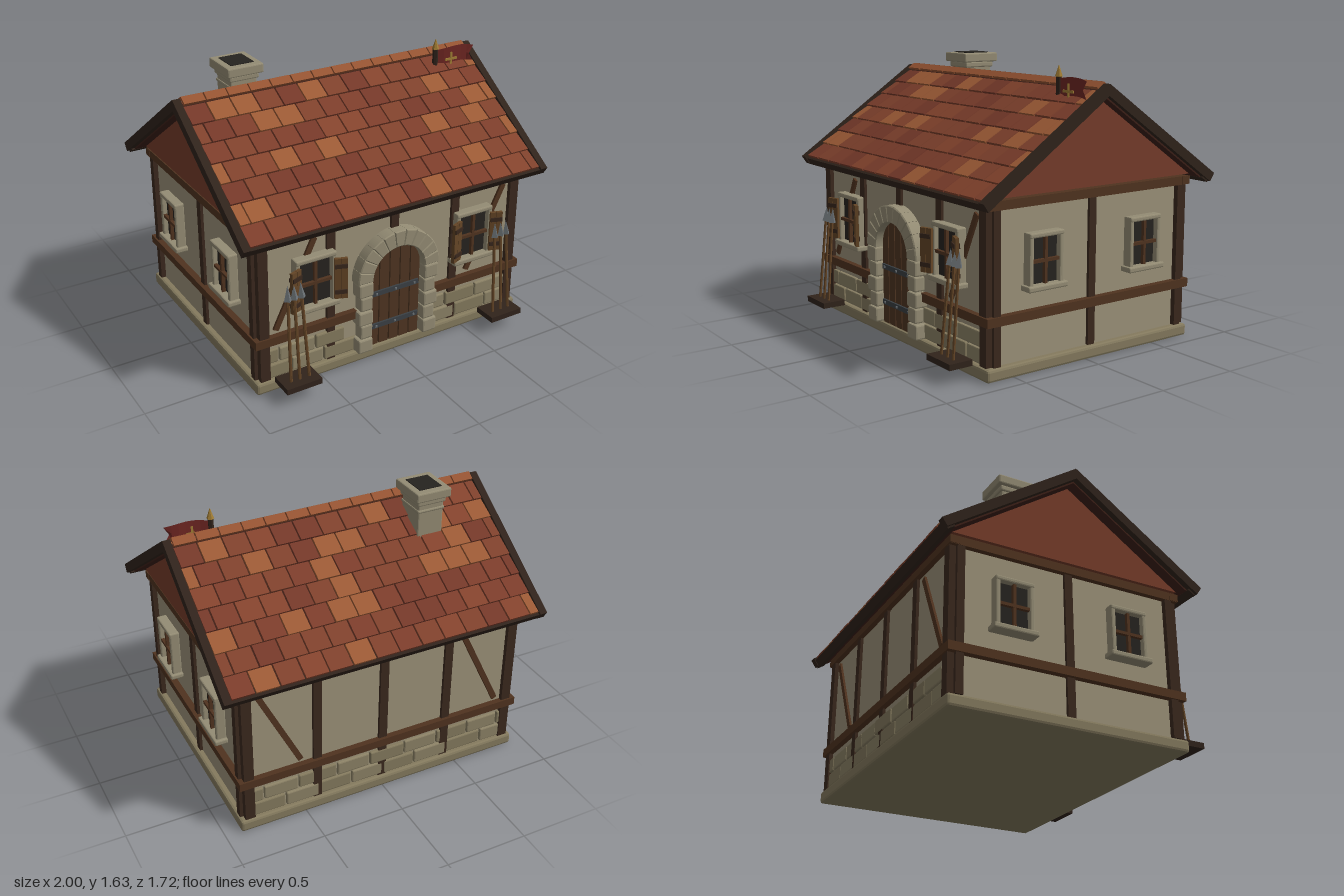
import * as THREE from 'three';
import { RoundedBoxGeometry } from 'three/addons/geometries/RoundedBoxGeometry.js';

const C = {
  plaster: 0x9c9279, stone: 0x948c74, brick: 0x8c8266, base: 0x847a5e, timber: 0x3a281d, rail: 0x50331f,
  dark: 0x30231b, plank: 0x4e3421, shutter: 0x644526, iron: 0x3a4044, steel: 0x6a7074, glass: 0x26231f,
  gable: 0x763c2a, deck: 0x3c1f17, ridge: 0x965432, gold: 0xa07c34, cloth: 0x6e2622,
};
const TILES = [0x7c3d2b, 0x84432d, 0x753829, 0x7f412c, 0x9c5a35];
const mats = {};
const mat = (c) => (mats[c] ??= new THREE.MeshStandardMaterial({ color: c, flatShading: true, side: THREE.DoubleSide }));

let seed = 7;
const rnd = () => (seed = (seed * 16807) % 2147483647) / 2147483647;

function add(parent, name, geo, color, x = 0, y = 0, z = 0) {
  const m = new THREE.Mesh(geo, mat(color));
  m.name = name;
  m.position.set(x, y, z);
  parent.add(m);
  return m;
}
const box = (p, n, c, w, h, d, x, y, z) => add(p, n, new THREE.BoxGeometry(w, h, d), c, x, y, z);
const block = (p, n, c, w, h, d, x, y, z, r = 0.008) =>
  add(p, n, new RoundedBoxGeometry(w, h, d, 1, r), c, x, y, z);
function group(parent, name, x = 0, y = 0, z = 0, ry = 0) {
  const g = new THREE.Group();
  g.name = name;
  g.position.set(x, y, z);
  g.rotation.y = ry;
  parent.add(g);
  return g;
}

// Window facing +z; origin at the centre of the opening on the wall face
function makeWindow(parent, name, w, h, x, y, z, ry, shutters) {
  const g = group(parent, name, x, y, z, ry), t = 0.028;
  box(g, 'glass', C.glass, w, h, 0.03, 0, 0, 0.012);
  for (const s of [-1, 1]) block(g, 'frameSide', C.stone, t, h + 2 * t, 0.06, s * (w + t) / 2, 0, 0.028);
  block(g, 'lintel', C.stone, w + 2 * t, t, 0.062, 0, (h + t) / 2, 0.03);
  block(g, 'sill', C.stone, w + 0.09, 0.032, 0.08, 0, -(h + 0.03) / 2, 0.036);
  box(g, 'mullion', C.rail, 0.018, h, 0.02, 0, 0, 0.04);
  box(g, 'crossbar', C.rail, w, 0.018, 0.02, 0, 0, 0.042);
  if (!shutters) return;
  for (const s of [-1, 1]) {
    const leaf = group(g, 'shutter', s * (w / 2 + 0.005), 0, 0.065, s > 0 ? -0.35 : Math.PI + 0.35);
    for (let i = 0; i < 2; i++) box(leaf, 'shutterBoard', C.shutter, 0.036, 0.25, 0.02, 0.019 + i * 0.038, 0, 0);
    for (const yy of [-0.08, 0.08]) box(leaf, 'shutterBatten', C.timber, 0.07, 0.025, 0.034, 0.038, yy, 0);
  }
}

// Timbers and brick footing of a long wall, facing +z; flip mirrors x for the rear
function makeLongWall(house, name, rear) {
  const g = group(house, name, 0, 0, 0, rear ? Math.PI : 0);
  const f = rear ? -1 : 1;
  for (const x of [-0.845, 0.845]) box(g, 'cornerPost', C.timber, 0.06, 0.85, 0.05, x, 0.5, 0.69);
  for (const x of [-0.42, 0.42]) box(g, 'post', C.timber, 0.052, 0.85, 0.035, x, 0.5, 0.69);
  if (rear) box(g, 'centrePost', C.timber, 0.052, 0.85, 0.035, 0, 0.5, 0.69);
  else box(g, 'centrePost', C.timber, 0.05, 0.13, 0.035, 0, 0.86, 0.69);
  box(g, 'topBeam', C.rail, 1.8, 0.045, 0.055, 0, 0.938, 0.695);
  if (rear) box(g, 'rail', C.rail, 1.81, 0.05, 0.05, 0, 0.325, 0.7);
  else for (const s of [-1, 1]) box(g, 'rail', C.rail, 0.645, 0.05, 0.05, s * 0.5825, 0.325, 0.7);
  for (const x0 of [-0.645, 0.6475]) {
    const b = box(g, 'brace', C.rail, 0.034, 0.565, 0.028, x0 * f, 0.63, 0.69);
    b.rotation.z = -f * 0.455;
  }
  // Two staggered courses of brick
  for (let r = 0; r < 2; r++) {
    let x = -0.865;
    for (let i = 0; x < 0.86; i++) {
      const w = Math.min(i === 0 && r ? 0.11 : 0.19 + 0.06 * rnd(), 0.865 - x);
      const mid = x + w / 2;
      if (w > 0.03 && (rear || Math.abs(mid) > 0.24))
        block(g, 'brick', i % 2 ? C.brick : C.base, w - 0.008, 0.086, 0.03, mid, 0.122 + r * 0.095, 0.69 + 0.006 * rnd());
      x += w;
    }
  }
}

// Arched plank door with a stone surround
function makeDoor(house) {
  const g = group(house, 'door', 0, 0, 0.69);
  const R = 0.175, cy = 0.535;
  const back = new THREE.Shape().moveTo(-R, 0.07).lineTo(R, 0.07).lineTo(R, cy).absarc(0, cy, R, 0, Math.PI);
  add(g, 'doorRecess', new THREE.ExtrudeGeometry(back, { depth: 0.01, bevelEnabled: false, curveSegments: 16 }), C.glass);
  for (let i = 0; i < 5; i++) {
    const a = -R + i * 0.07 + 0.004, b = a + 0.062, s = new THREE.Shape().moveTo(a, 0.075).lineTo(b, 0.075);
    for (let k = 0; k <= 4; k++) {
      const x = b + (a - b) * k / 4;
      s.lineTo(x, cy + Math.sqrt(Math.max(0, R * R - x * x)));
    }
    add(g, 'doorPlank', new THREE.ExtrudeGeometry(s, { depth: 0.025, bevelEnabled: false }), C.plank);
  }
  for (const y of [0.205, 0.42]) {
    box(g, 'hingeStrap', C.iron, 0.32, 0.03, 0.012, 0, y, 0.031);
    for (const x of [-0.13, 0, 0.13]) box(g, 'stud', C.steel, 0.012, 0.012, 0.008, x, y, 0.039);
  }
  const n = 11, bev = 0.006;
  for (let i = 0; i < n; i++) {
    const a0 = Math.PI * i / n + 0.024, a1 = Math.PI * (i + 1) / n - 0.024;
    const s = new THREE.Shape().absarc(0, 0, 0.269, a0, a1).absarc(0, 0, R + bev, a1, a0, true);
    const geo = new THREE.ExtrudeGeometry(s, { depth: 0.07, bevelSize: bev, bevelThickness: bev, bevelSegments: 1, curveSegments: 3 });
    add(g, 'archStone', geo, C.stone, 0, cy, 0);
  }
  for (const s of [-1, 1]) for (let i = 0; i < 5; i++) {
    const w = i % 2 ? 0.08 : 0.095;
    block(g, 'jambStone', C.stone, w, 0.089, i % 2 ? 0.07 : 0.08, s * (R + w / 2), 0.121 + i * 0.092, 0.038, 0.01);
  }
}

// One roof slope: local z runs down the slope from the ridge
function makeSlope(roof, name, ry) {
  const turn = group(roof, name, 0, 1.5, 0, ry);
  const g = group(turn, 'slope');
  g.rotation.x = 0.597;
  box(g, 'deck', C.deck, 1.93, 0.035, 0.95, 0, -0.016, 0.475);
  for (const s of [-1, 1]) {
    box(g, 'bargeboard', C.dark, 0.045, 0.055, 0.985, s * 0.9775, 0.003, 0.475);
  }
  const eave = box(turn, 'eaveBoard', C.dark, 1.97, 0.05, 0.05, 0, -0.535, 0.77);
  eave.rotation.x = 0.597;
  const pitch = 0.1425, rows = 7, run = 0.131;
  for (let r = 0; r < rows; r++) {
    const off = r % 2 ? pitch / 2 : 0;
    for (let i = 0; i <= 14; i++) {
      const a = Math.max(-0.955, -0.96 + i * pitch - off), b = Math.min(0.955, -0.96 + (i + 1) * pitch - off);
      if (b - a < 0.02) continue;
      const k = rnd();
      const t = box(g, 'tile', TILES[k > 0.82 ? 4 : Math.floor(k * 4.8)], b - a - 0.009, 0.016, 0.13,
        (a + b) / 2, 0.015 + 0.003 * rnd(), 0.03 + (r + 0.5) * run);
      t.rotation.x = -0.09;
    }
  }
}

function makeRoof(house) {
  const g = group(house, 'roof');
  const tri = new THREE.Shape().moveTo(-0.74, 0.975).lineTo(0.74, 0.975).lineTo(0, 1.48);
  const prism = new THREE.ExtrudeGeometry(tri, { depth: 1.8, bevelEnabled: false }).translate(0, 0, -0.9).rotateY(Math.PI / 2);
  add(g, 'gable', prism, C.gable);
  makeSlope(g, 'frontSlope', 0);
  makeSlope(g, 'rearSlope', Math.PI);
  // Folded ridge caps
  for (let i = 0; i < 14; i++) for (const s of [-1, 1]) {
    const c = box(g, 'ridgeCap', C.ridge, 0.128, 0.016, 0.05, -0.884 + i * 0.136, 1.524, s * 0.019);
    c.rotation.x = s * 0.597;
  }
}

function makeChimney(house) {
  const g = group(house, 'chimney', -0.525, 0, -0.17);
  block(g, 'shaft', C.stone, 0.165, 0.36, 0.185, 0, 1.41, 0);
  block(g, 'lowerBand', C.stone, 0.178, 0.02, 0.198, 0, 1.5, 0);
  block(g, 'collar', C.stone, 0.185, 0.035, 0.208, 0, 1.555, 0);
  block(g, 'cap', C.stone, 0.225, 0.057, 0.25, 0, 1.6, 0);
  box(g, 'flue', C.glass, 0.144, 0.02, 0.16, 0, 1.623, 0);
}

// Tray with three leaning spears
function makeSpearRack(model, s) {
  const g = group(model, 'spearRack', s * 0.7, 0, 0);
  box(g, 'rackTray', C.dark, 0.22, 0.034, 0.145, 0, 0.1, 0.782);
  [-0.06, 0, 0.055].forEach((dx, i) => {
    const spear = group(g, 'spear', s * dx, 0.11, 0.795);
    spear.rotation.set(-0.095, 0, (i - 1) * s * 0.03);
    add(spear, 'shaft', new THREE.CylinderGeometry(0.009, 0.009, 0.52, 6), C.shutter, 0, 0.26, 0);
    add(spear, 'spearhead', new THREE.ConeGeometry(0.024, 0.09, 4), C.steel, 0, 0.54, 0);
  });
}

function makeFlag(model) {
  const g = group(model, 'flag', 0.685, 0, 0.045);
  add(g, 'pole', new THREE.CylinderGeometry(0.016, 0.018, 0.16, 6), C.dark, 0, 1.495, 0);
  add(g, 'finial', new THREE.ConeGeometry(0.022, 0.065, 6), C.gold, 0, 1.593, 0);
  add(g, 'finialBase', new THREE.ConeGeometry(0.022, 0.02, 6).rotateX(Math.PI), C.gold, 0, 1.551, 0);
  // Notched cloth with a slight wave
  const cloth = new THREE.PlaneGeometry(0.25, 0.1, 6, 2).translate(0.14, 1.5, 0);
  const p = cloth.attributes.position;
  for (let i = 0; i < p.count; i++) {
    const u = (p.getX(i) - 0.015) / 0.25, v = p.getY(i);
    if (u > 0.99 && Math.abs(v - 1.5) < 0.01) p.setX(i, 0.235);
    p.setY(i, v + 0.014 * Math.sin(u * Math.PI));
    p.setZ(i, 0.03 * u + 0.008 * Math.sin(u * 6));
  }
  add(g, 'cloth', cloth, C.cloth);
  box(g, 'crossUpright', C.gold, 0.014, 0.085, 0.008, 0.105, 1.485, 0.02);
  box(g, 'crossArm', C.gold, 0.085, 0.014, 0.008, 0.105, 1.485, 0.02);
}

export function createModel() {
  const model = new THREE.Group();
  model.name = 'guardHouse';
  const house = group(model, 'house', 0, 0, -0.045);
  block(house, 'plinth', C.base, 1.81, 0.072, 1.45, 0, 0.036, 0, 0.015);
  box(house, 'walls', C.plaster, 1.73, 0.885, 1.38, 0, 0.5125, 0);
  makeLongWall(house, 'frontWall', false);
  makeLongWall(house, 'rearWall', true);
  // End walls
  for (const s of [-1, 1]) {
    const g = group(house, 'endWall', 0, 0, 0, s * Math.PI / 2);
    for (const x of [-0.655, 0.655]) box(g, 'cornerPost', C.timber, 0.045, 0.85, 0.05, x, 0.5, 0.87);
    box(g, 'centrePost', C.timber, 0.048, 0.85, 0.035, 0, 0.5, 0.865);
    box(g, 'topBeam', C.rail, 1.43, 0.05, 0.05, 0, 0.938, 0.872);
    box(g, 'rail', C.rail, 1.45, 0.05, 0.05, 0, 0.325, 0.88);
    for (const x of [-0.355, 0.355]) makeWindow(g, 'endWindow', 0.175, 0.255, x, 0.618, 0.872, 0, false);
  }
  for (const s of [-1, 1]) makeWindow(house, 'frontWindow', 0.2, 0.272, s * 0.535, 0.628, 0.69, 0, true);
  makeDoor(house);
  makeRoof(house);
  makeChimney(house);
  for (const s of [-1, 1]) makeSpearRack(model, s);
  makeFlag(model);
  return model;
}
